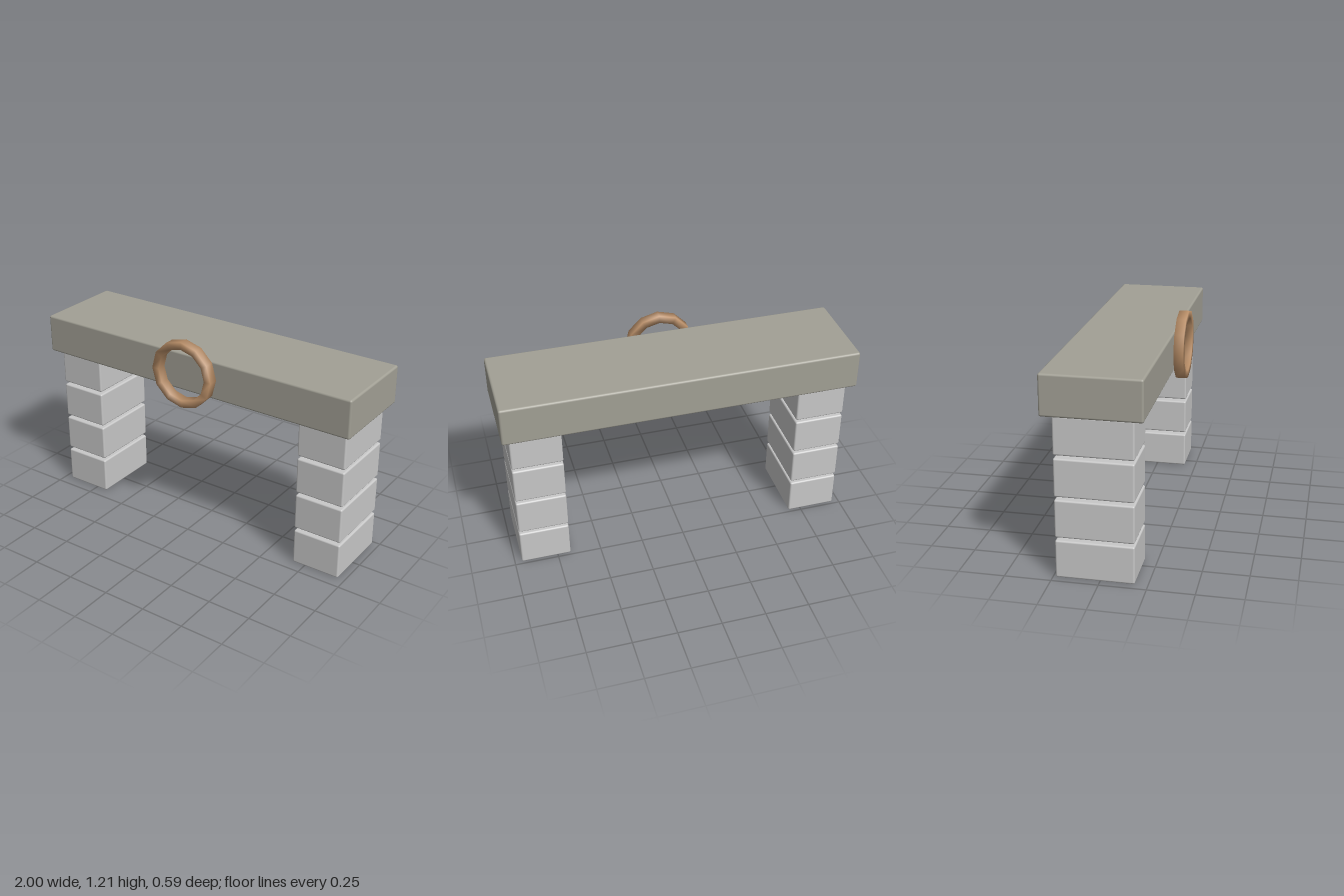
import * as THREE from 'three';
import { RoundedBoxGeometry } from 'three/addons/geometries/RoundedBoxGeometry.js';
import { mergeVertices } from 'three/addons/utils/BufferGeometryUtils.js';

function material(name, color) {
  const m = new THREE.MeshStandardMaterial({ color });
  m.name = name;
  return m;
}

export function createModel() {
  const model = new THREE.Group();
  model.name = 'stoneArch';
  const beamStone = material('warm grey stone', 0xa2a095);
  const blockStone = material('light grey stone', 0xc8c8c8);
  const bronze = material('bronze', 0xba8f68);

  function add(parent, name, geometry, mat, x, y, z) {
    const mesh = new THREE.Mesh(geometry, mat);
    mesh.name = name;
    mesh.position.set(x, y, z);
    parent.add(mesh);
  }

  // Lintel beam with softened edges
  add(model, 'beam', new RoundedBoxGeometry(2, 0.222, 0.525, 2, 0.012), beamStone, 0, 1.002, -0.028);

  // Two pillars of four stacked blocks with narrow gaps
  const block = new RoundedBoxGeometry(0.285, 0.209, 0.417, 2, 0.01);
  for (const side of [-1, 1]) {
    const pillar = new THREE.Group();
    pillar.name = side > 0 ? 'leftPillar' : 'rightPillar';
    for (let i = 0; i < 4; i++) {
      add(pillar, 'block', block, blockStone, side * 0.817, 0.1045 + i * 0.2257, -0.027);
    }
    model.add(pillar);
  }

  // Twelve-sided ring hung in front of the beam, shaded smoothly
  const inner = 0.151, outer = 0.194, half = 0.027;
  const profile = [[inner, -half], [outer, -half], [outer, half], [inner, half], [inner, -half]]
    .map(([x, y]) => new THREE.Vector2(x, y));
  let ring = new THREE.LatheGeometry(profile, 12);
  ring.deleteAttribute('normal');
  ring.deleteAttribute('uv');
  ring = mergeVertices(ring, 1e-4);
  ring.computeVertexNormals();
  ring.rotateX(Math.PI / 2);
  add(model, 'ring', ring, bronze, 0, 1.011, 0.268);

  return model;
}
